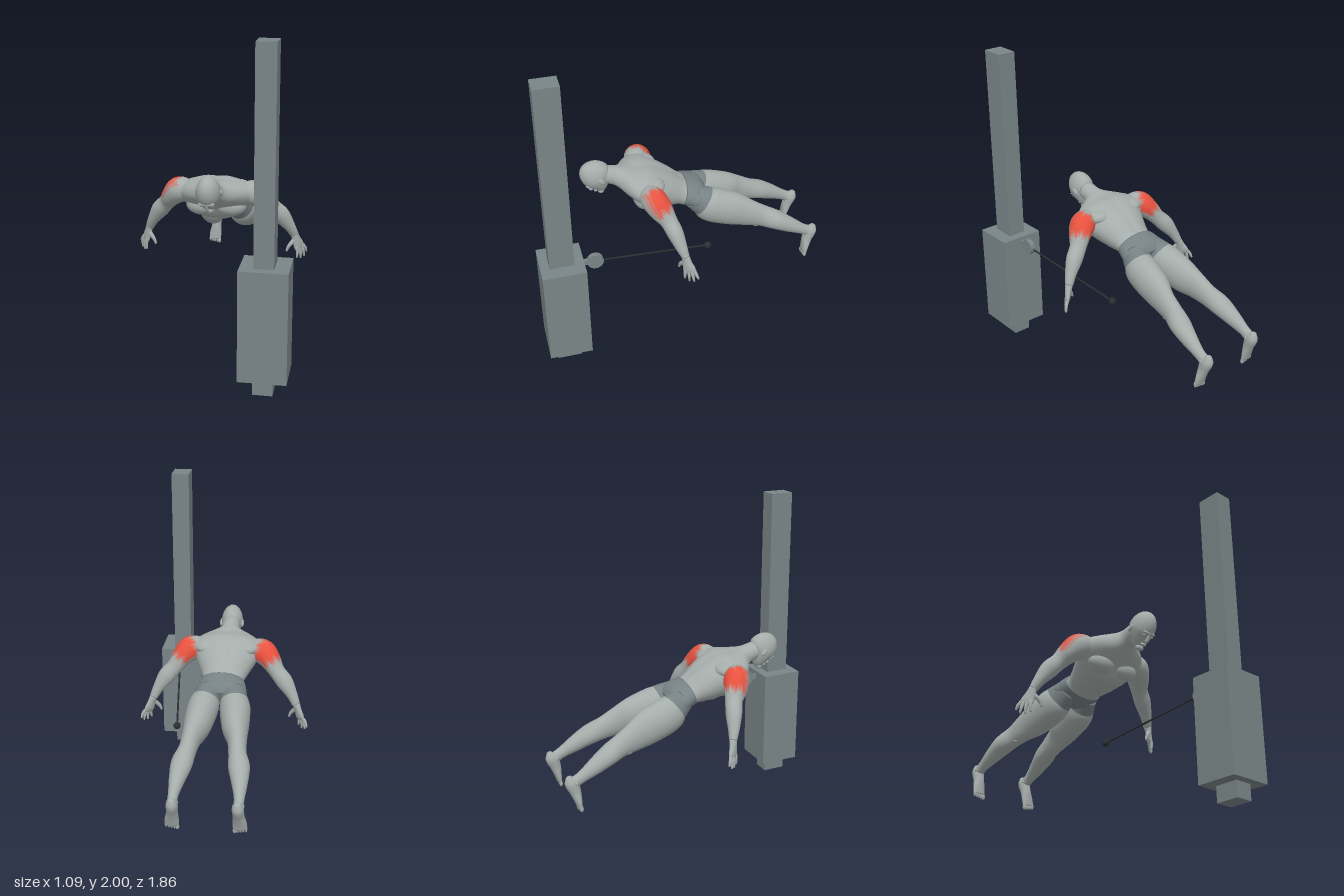
import * as THREE from 'three';

const mat = (name, color) => {
  const m = new THREE.MeshStandardMaterial({ color });
  m.name = name;
  return m;
};

const V = (x, y, z) => new THREE.Vector3(x, y, z);

// Smooth closed skin over rows of [x, y, z, side radius, up radius, down radius].
// ref is the direction of the side radius; bump scales radii; pick chooses a material.
function loft(name, rows, ref, mats, { bump = () => 1, pick = () => 0, n = 30, m = 28 } = {}) {
  const path = new THREE.CatmullRomCurve3(rows.map(r => V(r[0], r[1], r[2])), false, 'catmullrom');
  const radii = new THREE.CatmullRomCurve3(rows.map(r => V(r[3], r[4] ?? r[3], r[5] ?? r[4] ?? r[3])), false, 'catmullrom');
  const pos = [], faces = mats.map(() => []);
  for (let i = -1; i <= n + 1; i++) {
    const t = Math.min(Math.max(i / n, 0), 1), cap = i < 0 || i > n ? 0 : 1;
    const c = path.getPoint(t), T = path.getTangent(t), r = radii.getPoint(t);
    const side = ref.clone().addScaledVector(T, -T.dot(ref)).normalize();
    const up = side.clone().cross(T);
    for (let j = 0; j < m; j++) {
      const a = j / m * Math.PI * 2, k = cap * bump(t, a), s = Math.sin(a);
      const p = c.clone().addScaledVector(side, r.x * k * Math.cos(a)).addScaledVector(up, (s > 0 ? r.y : r.z) * k * s);
      pos.push(p.x, p.y, p.z);
    }
  }
  for (let i = 0; i < n + 2; i++) for (let j = 0; j < m; j++) {
    const a = i * m + j, b = i * m + (j + 1) % m;
    faces[pick((i - 0.5) / n, (j + 0.5) / m * 360)].push(a, a + m, b, b, a + m, b + m);
  }
  const g = new THREE.BufferGeometry();
  g.setAttribute('position', new THREE.Float32BufferAttribute(pos, 3));
  g.setIndex(faces.flat());
  let start = 0;
  faces.forEach((f, i) => { g.addGroup(start, f.length, i); start += f.length; });
  g.computeVertexNormals();
  const mesh = new THREE.Mesh(g, mats.length > 1 ? mats : mats[0]);
  mesh.name = name;
  return mesh;
}

export function createModel() {
  const skin = mat('skin grey', 0xa5adab), cloth = mat('shorts grey', 0x778284);
  const steel = mat('machine grey', 0x798587), dark = mat('cable black', 0x2b2f30);
  const red = mat('muscle red', 0xe8523f), soft = mat('muscle soft red', 0xd56b5d), blush = mat('muscle edge', 0xbf8a81);
  const model = new THREE.Group();
  const X = V(1, 0, 0), Z = V(0, 0, 1);

  const put = (parent, name, geo, material, x, y, z) => {
    const mesh = new THREE.Mesh(geo, material);
    mesh.name = name;
    mesh.position.set(x, y, z);
    parent.add(mesh);
    return mesh;
  };
  const ball = (parent, name, material, p, s) =>
    put(parent, name, new THREE.SphereGeometry(1, 24, 16), material, ...p).scale.set(...s);

  // Cable machine
  const machine = new THREE.Group();
  machine.name = 'cableMachine';
  model.add(machine);
  put(machine, 'column', new THREE.BoxGeometry(0.115, 2, 0.15), steel, 0.378, 1, 0.805);
  put(machine, 'weightHousing', new THREE.BoxGeometry(0.28, 0.66, 0.265), steel, 0.38, 0.43, 0.802);
  put(machine, 'pulleyBracket', new THREE.BoxGeometry(0.022, 0.032, 0.1), steel, 0.38, 0.72, 0.63);
  put(machine, 'pulley', new THREE.CylinderGeometry(0.05, 0.05, 0.03, 32).rotateZ(Math.PI / 2), steel, 0.38, 0.718, 0.596);
  const cable = new THREE.LineCurve3(V(0.376, 0.712, 0.58), V(0.28, 0.592, -0.145));
  put(machine, 'cable', new THREE.TubeGeometry(cable, 1, 0.006, 10), dark, 0, 0, 0);
  put(machine, 'cableHandle', new THREE.SphereGeometry(0.023, 20, 14), dark, 0.28, 0.592, -0.145);

  // Torso with a spine groove, a chest line and stomach ripples
  const body = new THREE.Group();
  body.name = 'figure';
  model.add(body);
  body.add(loft('torso', [
    [0, 1.07, 0.45, 0.056, 0.056], [0, 1.045, 0.37, 0.072, 0.062], [0, 1.02, 0.3, 0.18, 0.075, 0.08],
    [0, 0.99, 0.23, 0.235, 0.112, 0.1], [0, 0.95, 0.15, 0.2, 0.12, 0.14], [0, 0.905, 0.06, 0.158, 0.11, 0.12],
    [0, 0.872, -0.02, 0.13, 0.085, 0.09], [0, 0.845, -0.08, 0.14, 0.075]], X, [skin], {
    n: 56, m: 48,
    bump: (t, a) => {
      const groove = t > 0.25 ? Math.exp(-((Math.cos(a) / 0.13) ** 2)) : 0;
      const front = Math.sin(a) < -0.75;
      return 1 - (front ? 0.05 : 0.07) * groove + (front && t > 0.58 ? 0.025 * Math.cos(t * 62) : 0);
    },
  }));
  body.add(loft('shorts', [
    [0, 0.868, -0.042, 0.14, 0.084, 0.088], [0, 0.853, -0.085, 0.153, 0.086, 0.088],
    [0, 0.83, -0.135, 0.16, 0.086, 0.085], [0, 0.812, -0.175, 0.12, 0.06, 0.06]], X, [cloth], {
    m: 40, bump: (t, a) => 1 - 0.06 * t * Math.exp(-((Math.cos(a) / 0.12) ** 2)),
  }));

  // Head, tipped forward, with a tapered jaw
  const head = new THREE.Group();
  head.name = 'head';
  head.position.set(0, 1.065, 0.5);
  head.rotation.x = Math.PI / 4;
  body.add(head);
  const skull = new THREE.SphereGeometry(1, 40, 32), sp = skull.attributes.position;
  for (let i = 0; i < sp.count; i++) {
    const y = sp.getY(i), low = Math.max(0, -y), z = sp.getZ(i);
    sp.setXYZ(i, sp.getX(i) * 0.071 * (1 - 0.22 * low), y * 0.113,
      z * (z > 0 ? 0.088 : 0.102) * (1 - 0.3 * low) + 0.042 * low * low);
  }
  skull.computeVertexNormals();
  put(head, 'skull', skull, skin, 0, 0, 0);
  ball(head, 'chin', skin, [0, -0.098, 0.058], [0.028, 0.02, 0.024]);
  ball(head, 'lips', skin, [0, -0.068, 0.078], [0.022, 0.01, 0.012]);
  ball(head, 'brow', skin, [0, 0.006, 0.076], [0.048, 0.012, 0.015]);
  head.add(loft('nose', [[0, 0, 0.082, 0.007], [0, -0.025, 0.09, 0.009], [0, -0.042, 0.09, 0.013], [0, -0.047, 0.082, 0.008]], X, [skin], { n: 8, m: 12 }));
  for (const s of [1, -1]) {
    ball(head, 'ear', skin, [s * 0.071, -0.018, -0.014], [0.01, 0.026, 0.015]);
    ball(head, 'eyeLid', skin, [s * 0.028, -0.012, 0.076], [0.014, 0.008, 0.008]);
  }

  for (const s of [1, -1]) {
    const half = new THREE.Group();
    half.name = s > 0 ? 'leftSide' : 'rightSide';
    half.scale.x = s;
    body.add(half);

    // Chest, shoulder blade and seat
    ball(half, 'chestMuscle', skin, [0.088, 0.912, 0.23], [0.098, 0.064, 0.058]);
    ball(half, 'shoulderBlade', skin, [0.12, 1.018, 0.17], [0.09, 0.046, 0.075]);
    ball(half, 'seat', cloth, [0.08, 0.855, -0.14], [0.072, 0.046, 0.055]);

    // Arm with the worked muscle in red on its outer and rear faces, fading at the rim
    half.add(loft('arm', [
      [0.15, 0.995, 0.22, 0.05], [0.2, 0.995, 0.205, 0.073], [0.245, 0.983, 0.185, 0.08, 0.08],
      [0.29, 0.94, 0.155, 0.073, 0.066], [0.332, 0.885, 0.122, 0.054, 0.052], [0.385, 0.825, 0.095, 0.05, 0.054],
      [0.435, 0.75, 0.07, 0.036, 0.036], [0.465, 0.69, 0.05, 0.024, 0.026]], Z, [skin, blush, soft, red], {
      n: 72, m: 60,
      pick: (t, a) => {
        const w = 0.02 * Math.sin(a * 0.13) + 0.012 * Math.sin(a * 0.31);
        const d = Math.min((t - 0.18 - w) * 300, (0.49 + w - t) * 300, a - 38 - 300 * w, 225 - a + 300 * w);
        return d < 0 ? 0 : d < 9 ? 1 : d < 19 ? 2 : 3;
      },
    }));

    // Hand with spread fingers
    half.add(loft('palm', [[0.465, 0.695, 0.051, 0.024, 0.024], [0.478, 0.655, 0.045, 0.032, 0.02],
      [0.492, 0.615, 0.035, 0.042, 0.017], [0.499, 0.595, 0.031, 0.036, 0.012]], V(-0.6, 0, 0.8), [skin], { n: 12, m: 18 }));
    const tips = [[0.538, 0.56, -0.012], [0.526, 0.537, 0.012], [0.506, 0.53, 0.037], [0.484, 0.54, 0.062]];
    tips.forEach((p, i) => {
      const f = i / 3, a = [0.515 - 0.034 * f, 0.612, 0.008 + 0.05 * f];
      const mid = a.map((v, k) => (v + p[k]) / 2 + (k === 0 ? 0.005 : 0));
      half.add(loft('finger', [[...a, 0.011], [...mid, 0.01], [...p, 0.006]], Z, [skin], { n: 8, m: 10 }));
    });
    half.add(loft('thumb', [[0.472, 0.665, 0.055, 0.014], [0.443, 0.63, 0.073, 0.013], [0.428, 0.608, 0.078, 0.01], [0.42, 0.585, 0.08, 0.007]], Z, [skin], { n: 10, m: 10 }));

    // Leg, its top covered by the shorts
    half.add(loft('leg', [
      [0.078, 0.845, -0.1, 0.07, 0.075], [0.088, 0.805, -0.165, 0.086, 0.1, 0.098], [0.1, 0.77, -0.225, 0.095, 0.115, 0.12],
      [0.117, 0.722, -0.36, 0.083, 0.112, 0.118], [0.138, 0.685, -0.46, 0.06, 0.09, 0.098], [0.15, 0.65, -0.55, 0.054, 0.072, 0.078],
      [0.17, 0.608, -0.64, 0.064, 0.066, 0.062], [0.184, 0.555, -0.74, 0.047, 0.052, 0.05],
      [0.191, 0.51, -0.825, 0.031, 0.036, 0.038], [0.191, 0.478, -0.885, 0.03, 0.038, 0.04]], X, [skin, cloth], {
      n: 72, m: 36, pick: t => (t < 0.125 ? 1 : 0),
    }));
    ball(half, 'kneeCap', skin, [0.15, 0.6, -0.515], [0.034, 0.02, 0.04]);
    ball(half, 'ankleBones', skin, [0.191, 0.485, -0.865], [0.036, 0.017, 0.017]);

    // Foot hanging down from the heel
    half.add(loft('foot', [[0.19, 0.525, -0.905, 0.016], [0.19, 0.485, -0.892, 0.034, 0.038, 0.045],
      [0.193, 0.42, -0.868, 0.034, 0.032, 0.036], [0.198, 0.36, -0.853, 0.042, 0.022, 0.022],
      [0.2, 0.318, -0.846, 0.042, 0.015, 0.014]], X, [skin], { n: 24, m: 24 }));
    for (let i = 0; i < 5; i++)
      ball(half, 'toe', skin, [0.168 + i * 0.0165, 0.307 + i * 0.003, -0.844], [i ? 0.008 : 0.012, 0.02, 0.011]);
  }
  return model;
}
